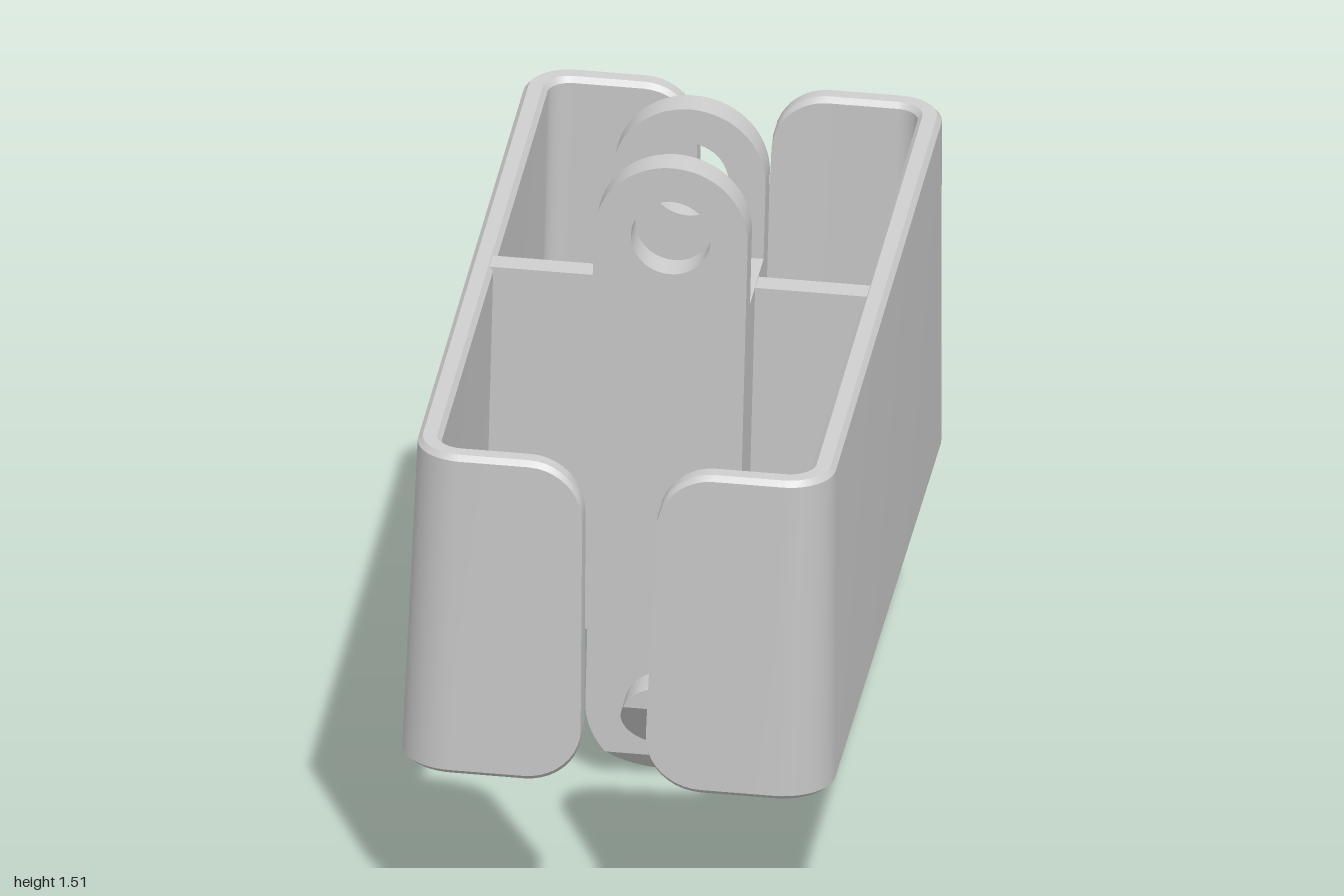
import * as THREE from 'three';
import { toCreasedNormals } from 'three/addons/utils/BufferGeometryUtils.js';

const material = new THREE.MeshStandardMaterial({ color: 0xcccccc });
const H = 0.385;                                  // half height of the clip
const T = 0.06, W = 0.459, L = 0.968, R = 0.11;   // wall, half width, half length, corner radius
const GAP = 0.075, LIP = 0.12, BEVEL = 0.012;     // half slot, lip corner radius, rim bevel

function add(parent, name, geometry, x = 0, y = 0, z = 0) {
  const mesh = new THREE.Mesh(geometry, material);
  mesh.name = name;
  mesh.position.set(x, y, z);
  parent.add(mesh);
  return mesh;
}

function extrude(shape, depth) {
  const g = new THREE.ExtrudeGeometry(shape, { depth, bevelEnabled: false, curveSegments: 24 });
  return g.translate(0, 0, -depth / 2);
}

// Stations along one C-shaped wall, from the front slot to the rear slot
function wallPath() {
  const front = [];
  for (let i = 0; i <= 10; i++) {
    const t = (i / 10) * Math.PI / 2;
    front.push({ x: GAP + LIP * (1 - Math.cos(t)), z: L, nx: 0, nz: 1, drop: LIP * (1 - Math.sin(t)) });
  }
  for (let i = 0; i <= 10; i++) {
    const t = (i / 10) * Math.PI / 2, nx = Math.sin(t), nz = Math.cos(t);
    front.push({ x: W - R + R * nx, z: L - R + R * nz, nx, nz, drop: 0 });
  }
  const back = front.map(s => ({ ...s, z: -s.z, nz: -s.nz })).reverse();
  return [...front, ...back];
}

// Wall with rounded lips, drafted outer face and a slightly sloping lower rim
function wallGeometry(slope) {
  const pos = [], index = [], path = wallPath(), n = 8, b = BEVEL;
  for (const s of path) {
    const top = H - s.drop, bottom = -H + slope * s.z + s.drop;
    const ring = [
      [0, bottom + b], [0, top - b], [b, top], [T - b, top],
      [T, top - b], [T, bottom + b], [T - b, bottom], [b, bottom],
    ];
    const lean = Math.max(0, 1 - (s.x - GAP) / (W - R - GAP)) * 0.02;
    for (const [inset, y] of ring) {
      const out = -inset - y * 0.022 * (1 - inset / T);
      pos.push(s.x + s.nx * out + lean * y, y, s.z + s.nz * out);
    }
  }
  for (let i = 0; i < path.length - 1; i++) {
    for (let k = 0; k < n; k++) {
      const a = i * n + k, c = i * n + (k + 1) % n;
      index.push(a, a + n, c + n, a, c + n, c);
    }
  }
  const e = (path.length - 1) * n;
  for (let k = 1; k < n - 1; k++) index.push(0, k, k + 1, e, e + k + 1, e + k);
  const g = new THREE.BufferGeometry();
  g.setAttribute('position', new THREE.Float32BufferAttribute(pos, 3));
  g.setIndex(index);
  return toCreasedNormals(g, 0.6);
}

// Round slab of half thickness h0, tapering to h1 below the split line;
// a flatTop makes the upper part straight-sided instead of circular
function taperedSlab(parent, name, cy, r, split, h0, h1, flatTop) {
  const group = new THREE.Group();
  group.name = name;
  const a = Math.asin((split - cy) / r);
  const upper = new THREE.Shape();
  if (flatTop === undefined) {
    upper.absarc(0, cy, r, a, Math.PI - a, false);
  } else {
    upper.absarc(0, cy, r, a, 0, false);
    upper.lineTo(r, flatTop);
    upper.lineTo(-r, flatTop);
    upper.absarc(0, cy, r, Math.PI, Math.PI - a, false);
  }
  const lower = new THREE.Shape();
  lower.absarc(0, cy, r, Math.PI - a, Math.PI * 2 + a, false);
  const low = extrude(lower, 2 * h0), p = low.attributes.position;
  for (let i = 0; i < p.count; i++) {
    const t = (split - p.getY(i)) / (split - cy + r);
    p.setZ(i, Math.sign(p.getZ(i)) * (h0 + (h1 - h0) * t));
  }
  low.computeVertexNormals();
  add(group, name + 'Body', toCreasedNormals(extrude(upper, 2 * h0), 0.5));
  add(group, name + 'Taper', toCreasedNormals(low, 0.5));
  parent.add(group);
}

// Plate with a round eye at its upper end
function prongGeometry() {
  const w = 0.166, eye = 0.56;
  const s = new THREE.Shape();
  s.moveTo(-w, -H);
  s.lineTo(w, -H);
  s.lineTo(w, eye);
  s.absarc(0, eye, w, 0, Math.PI, false);
  s.closePath();
  const hole = new THREE.Path();
  hole.absarc(0, eye, 0.086, 0, Math.PI * 2, true);
  s.holes.push(hole);
  return toCreasedNormals(extrude(s, 0.07), 0.5);
}

export function createModel() {
  const model = new THREE.Group();
  model.name = 'clipLink';
  const body = new THREE.Group();
  body.name = 'body';
  body.position.set(0.004, 0.77, 0.008);
  body.rotation.set(0.084, 0, -0.035);
  model.add(body);

  // Two C-shaped walls with a slot at front and rear
  add(body, 'leftWall', wallGeometry(0.02));
  add(body, 'rightWall', wallGeometry(-0.02)).rotation.y = Math.PI;

  // Front and rear eye plates
  const prong = prongGeometry();
  add(body, 'frontProng', prong, 0, 0, 0.145);
  add(body, 'rearProng', prong, 0, 0, -0.145);

  // Hollow column sides and ribs reaching the walls
  for (const [side, sx] of [['left', 1], ['right', -1]]) {
    add(body, side + 'ColumnSide', new THREE.BoxGeometry(0.056, 2 * H, 0.224), sx * 0.138, 0, 0);
    add(body, side + 'Rib', new THREE.BoxGeometry(0.26, 2 * H - 0.005, 0.055), sx * 0.285, 0, 0);
  }

  // Lower tab with ramped snap studs on both faces
  taperedSlab(body, 'tab', -0.6, 0.168, -0.715, 0.094, 0.045, -H + 0.05);
  taperedSlab(body, 'stud', -0.6, 0.084, -0.565, 0.178, 0.096);
  return model;
}
